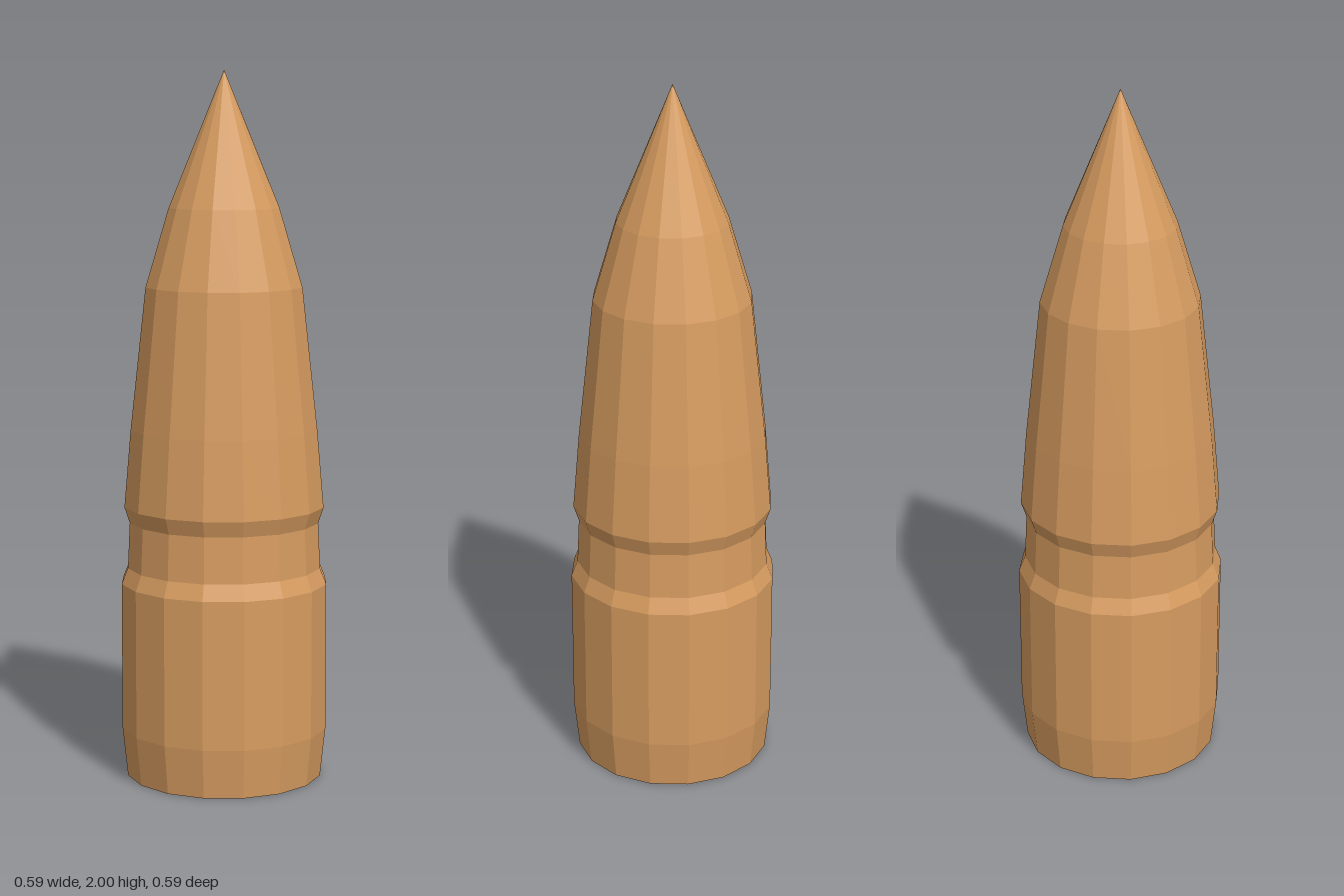
import * as THREE from 'three';

const SIDES = 16;

export function createModel() {
  const group = new THREE.Group();
  group.name = 'bullet';
  const material = new THREE.MeshStandardMaterial({ color: 0xd79c60, flatShading: true });

  // Each part is a faceted ring stack turned from [radius, height] points, listed bottom to top.
  const addTurned = (name, profile) => {
    const points = profile.map(([r, y]) => new THREE.Vector2(r, y));
    const mesh = new THREE.Mesh(new THREE.LatheGeometry(points, SIDES), material);
    mesh.name = name;
    group.add(mesh);
  };

  // Recessed dish in the underside, with the flat rim around it
  addTurned('baseRecess', [[0, 0.05], [0.12, 0.05], [0.195, 0], [0.28, 0]]);
  // Slightly tapered heel and straight lower body
  addTurned('lowerBody', [[0.28, 0], [0.295, 0.14], [0.295, 0.56]]);
  // Crimped groove around the waist
  addTurned('grooveBand', [[0.295, 0.56], [0.277, 0.605], [0.271, 0.735], [0.286, 0.78]]);
  // Tapering upper body
  addTurned('upperBody', [[0.286, 0.78], [0.267, 1.0], [0.223, 1.4]]);
  // Pointed nose
  addTurned('tip', [[0.223, 1.4], [0.157, 1.62], [0, 2]]);

  return group;
}
